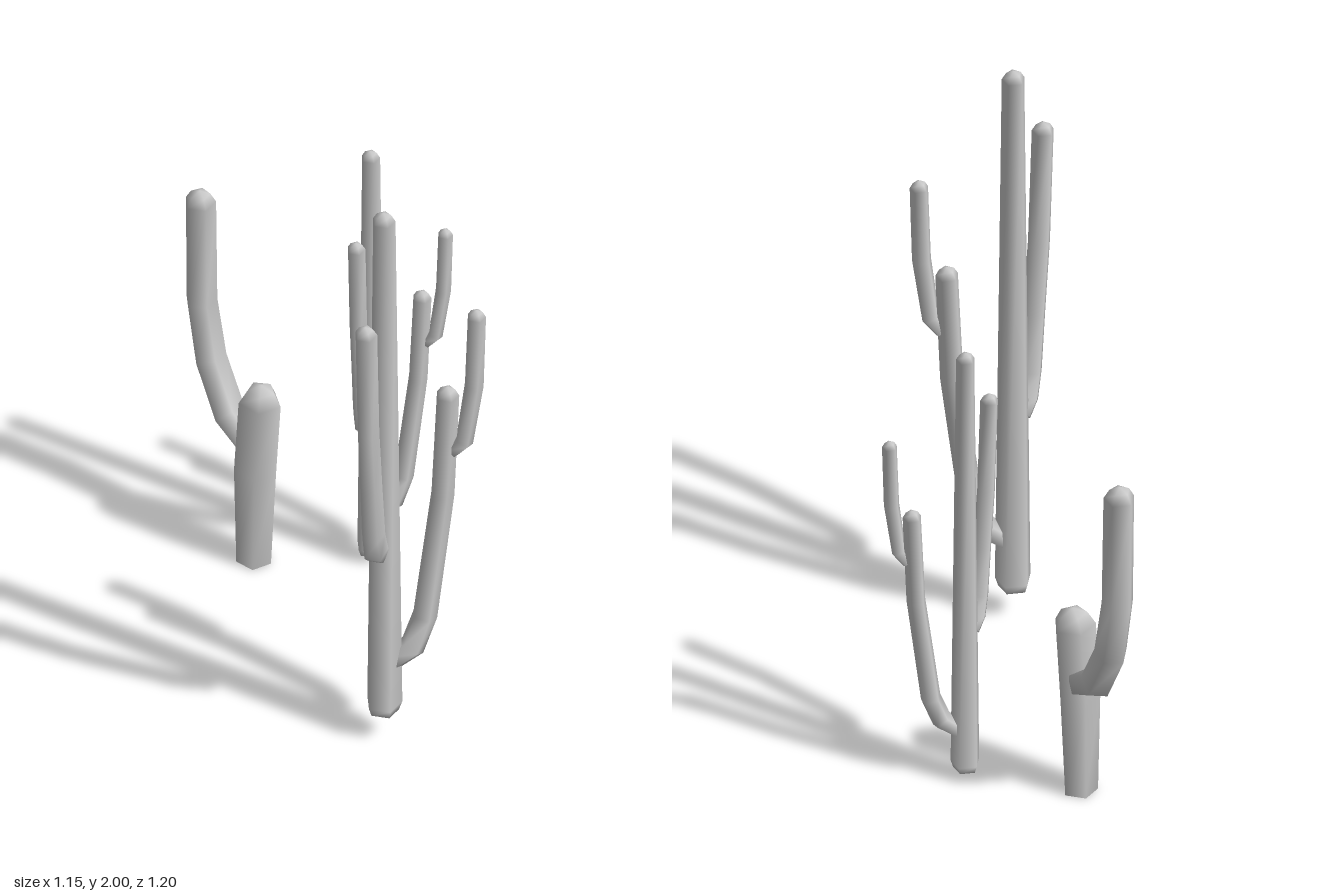
import * as THREE from 'three';

const SIDES = 5;
const material = new THREE.MeshStandardMaterial({ color: 0xcccccc, side: THREE.DoubleSide });

// Five-sided limb swept through [x, y, z, radius] stations, with a small domed tip
function limb(name, stations, phase = -Math.PI / 2) {
  const centres = stations.map(([x, y, z]) => new THREE.Vector3(x, y, z));
  const radii = stations.map((s) => s[3]);
  const last = centres.length - 1;
  const tipDir = centres[last].clone().sub(centres[last - 1]).normalize();
  const tipRadius = radii[last];
  const apex = centres[last].clone().addScaledVector(tipDir, tipRadius * 0.9);
  centres.push(centres[last].clone().addScaledVector(tipDir, tipRadius * 0.62));
  radii.push(tipRadius * 0.65);

  const up = new THREE.Vector3(0, 1, 0);
  const positions = [];
  const index = [];
  const n = centres.length;
  centres.forEach((c, i) => {
    const before = c.clone().sub(centres[Math.max(i - 1, 0)]).normalize();
    const after = centres[Math.min(i + 1, n - 1)].clone().sub(c).normalize();
    const turn = new THREE.Quaternion().setFromUnitVectors(up, before.add(after).normalize());
    for (let k = 0; k < SIDES; k++) {
      const a = phase + (k / SIDES) * Math.PI * 2;
      const p = new THREE.Vector3(Math.cos(a), 0, Math.sin(a)).multiplyScalar(radii[i]);
      positions.push(...p.applyQuaternion(turn).add(c).toArray());
    }
  });
  const bottom = n * SIDES;
  const top = bottom + 1;
  positions.push(...centres[0].toArray(), ...apex.toArray());

  for (let k = 0; k < SIDES; k++) {
    const next = (k + 1) % SIDES;
    for (let i = 0; i < n - 1; i++) {
      const a = i * SIDES + k;
      const b = i * SIDES + next;
      index.push(a, a + SIDES, b, b, a + SIDES, b + SIDES);
    }
    index.push(bottom, k, next);
    index.push((n - 1) * SIDES + k, top, (n - 1) * SIDES + next);
  }

  const geometry = new THREE.BufferGeometry();
  geometry.setAttribute('position', new THREE.Float32BufferAttribute(positions, 3));
  geometry.setIndex(index);
  geometry.computeVertexNormals();
  const mesh = new THREE.Mesh(geometry, material);
  mesh.name = name;
  return mesh;
}

// Tall cactus with a front arm, a side arm and a small shoot on the side arm
function tallCactus(name, x, y, z, scale) {
  const cactus = new THREE.Group();
  cactus.name = name;
  cactus.add(
    limb('trunk', [[0, 0, 0, 0.048], [0, 0.03, 0, 0.058], [0, 1.868, 0, 0.037]]),
    limb('frontArm', [
      [-0.01, 0.62, 0.03, 0.036], [-0.01, 0.66, 0.07, 0.042], [-0.01, 0.74, 0.098, 0.039],
      [-0.01, 0.94, 0.127, 0.037], [-0.01, 1.18, 0.162, 0.036], [-0.01, 1.568, 0.188, 0.036],
    ]),
    limb('sideArm', [
      [0.02, 0.18, -0.015, 0.036], [0.08, 0.225, -0.045, 0.042], [0.112, 0.33, -0.07, 0.04],
      [0.16, 0.78, -0.1, 0.038], [0.175, 1.157, -0.105, 0.037],
    ]),
    limb('shoot', [
      [0.19, 0.95, -0.105, 0.026], [0.227, 0.99, -0.11, 0.03],
      [0.255, 1.2, -0.117, 0.031], [0.263, 1.463, -0.119, 0.03],
    ]),
  );
  cactus.position.set(x, y, z);
  cactus.scale.setScalar(scale);
  return cactus;
}

// Short stout cactus with one bent arm
function stoutCactus() {
  const cactus = new THREE.Group();
  cactus.name = 'stoutCactus';
  cactus.add(
    limb('trunk', [
      [-0.32, 0, -0.39, 0.056], [-0.316, 0.35, -0.393, 0.068],
      [-0.304, 0.595, -0.395, 0.072], [-0.302, 0.61, -0.395, 0.066],
    ].map((s, i) => (i === 3 ? [-0.302, 0.605, -0.395, 0.068] : s)).filter((s, i) => i !== 2), 0.15),
    limb('arm', [
      [-0.34, 0.42, -0.42, 0.05], [-0.42, 0.475, -0.475, 0.054], [-0.495, 0.64, -0.53, 0.053],
      [-0.527, 0.84, -0.548, 0.051], [-0.528, 1.22, -0.54, 0.05],
    ]),
  );
  return cactus;
}

export function createModel() {
  const model = new THREE.Group();
  model.name = 'cactusCluster';
  model.add(
    tallCactus('largeCactus', 0.28, 0.1, 0.387, 1),
    tallCactus('mediumCactus', 0.025, 0.03, -0.478, 0.805),
    stoutCactus(),
  );
  return model;
}
